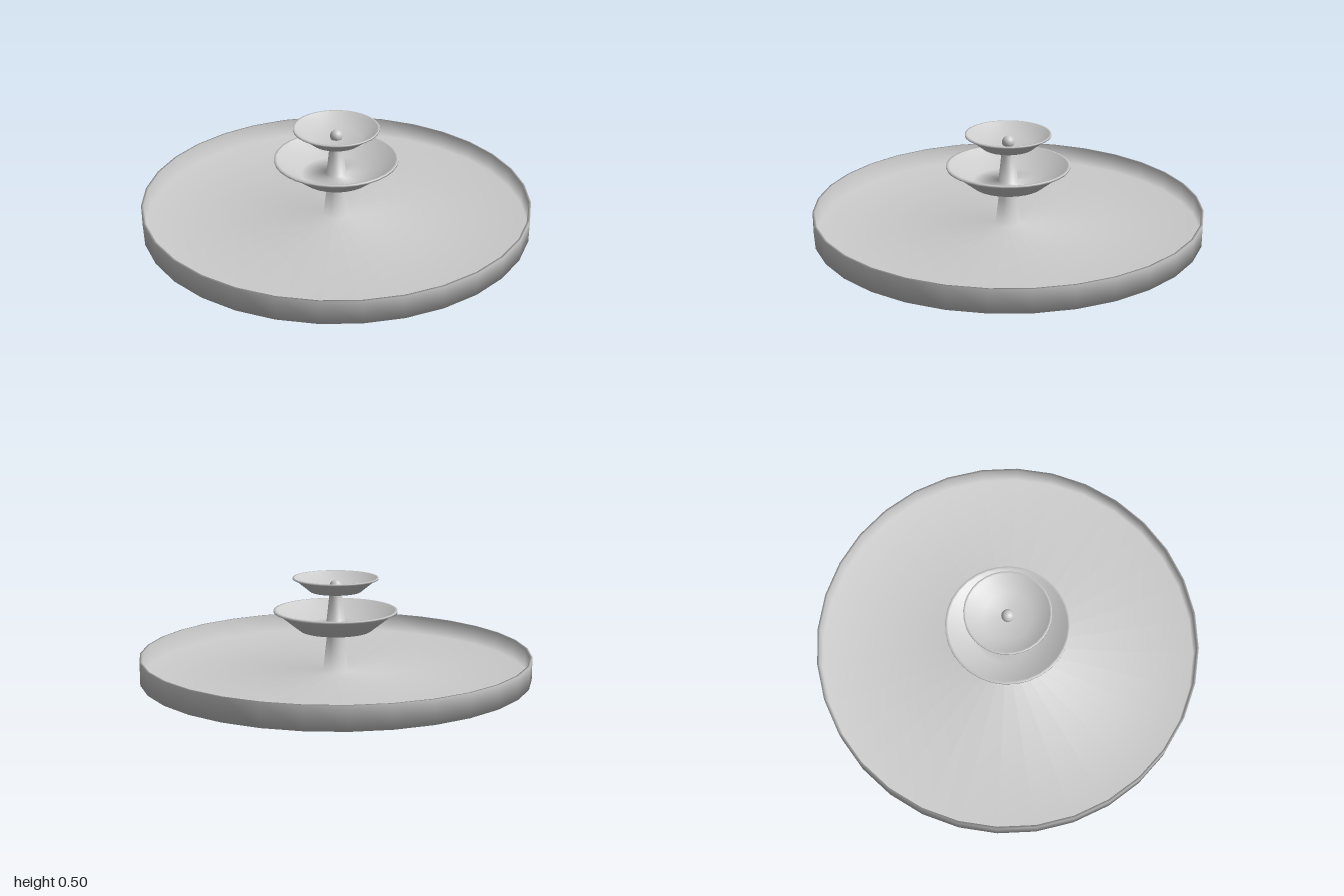
import * as THREE from 'three';

const SIDES = 32;

export function createModel() {
  const fountain = new THREE.Group();
  fountain.name = 'tieredFountain';
  const material = new THREE.MeshStandardMaterial({ color: 0xcccccc });

  // Turns a [radius, height] profile, listed from underside to top
  const turned = (name, profile) => {
    const points = profile.map(([r, y]) => new THREE.Vector2(r, y));
    const mesh = new THREE.Mesh(new THREE.LatheGeometry(points, SIDES), material);
    mesh.name = name;
    fountain.add(mesh);
  };

  // Wide pool with a thin wall, its floor running smoothly into the lower stem
  turned('poolAndLowerStem', [
    [0, 0], [1, 0], [1, 0.117], [0.988, 0.117], [0.985, 0.015],
    [0.066, 0.015], [0.041, 0.235],
  ]);

  // Middle bowl with a small overhanging lip, running into the upper stem
  turned('middleBowlAndUpperStem', [
    [0, 0.23], [0.185, 0.23], [0.3, 0.322], [0.317, 0.325], [0.317, 0.335],
    [0.303, 0.335], [0.18, 0.248], [0.05, 0.248], [0.03, 0.435],
  ]);

  // Top bowl
  turned('topBowl', [
    [0, 0.43], [0.13, 0.43], [0.205, 0.491], [0.219, 0.494], [0.219, 0.502],
    [0.208, 0.502], [0.125, 0.441], [0, 0.441],
  ]);

  // Ball at the centre of the top bowl
  const finial = new THREE.Mesh(new THREE.SphereGeometry(0.032, 24, 16), material);
  finial.name = 'finialBall';
  finial.position.y = 0.456;
  fountain.add(finial);

  return fountain;
}
